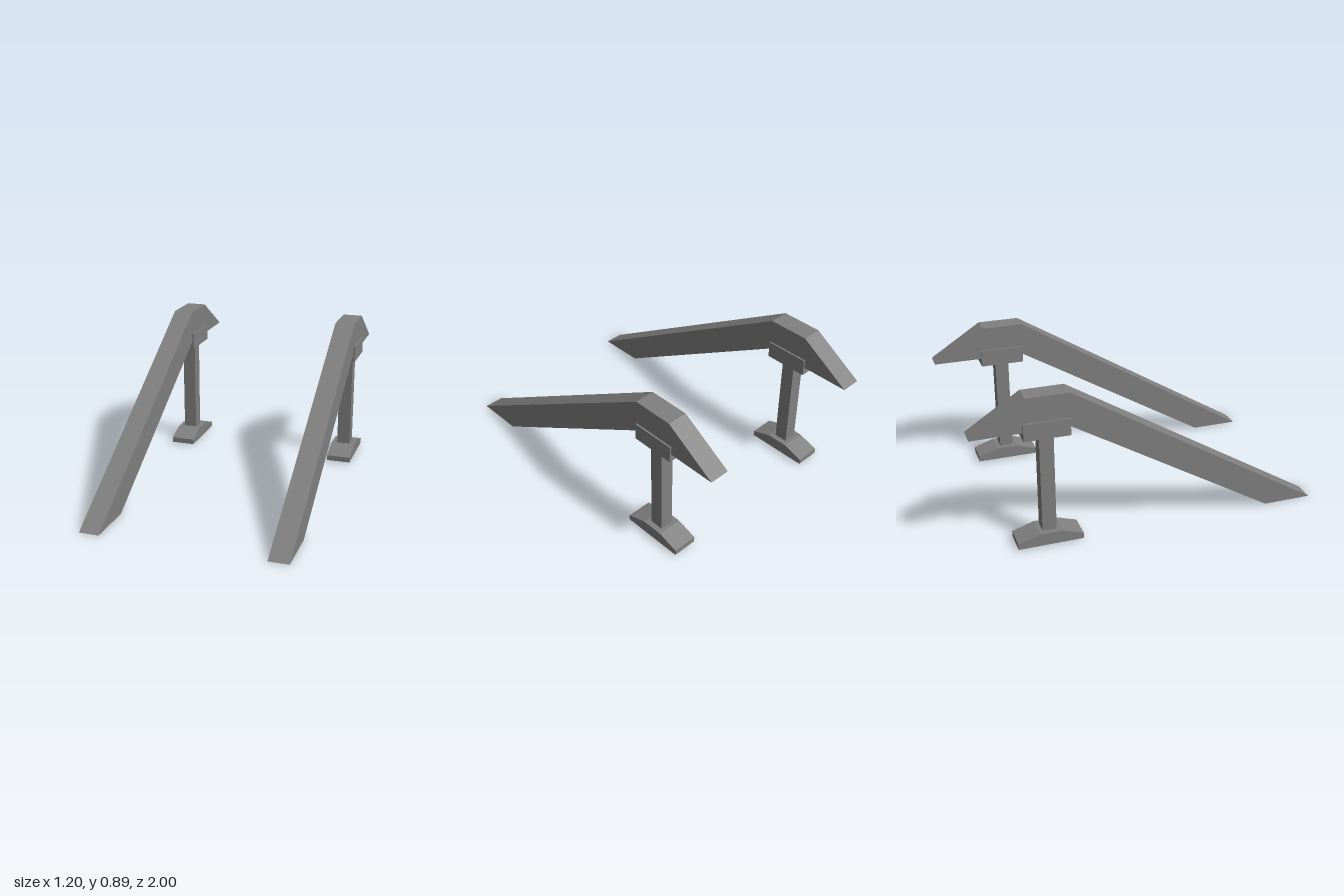
import * as THREE from 'three';

// Extrudes a side profile of [z, y] points across x, centred on x = 0.
function sideExtrude(points, width) {
  const shape = new THREE.Shape(points.map(([z, y]) => new THREE.Vector2(z, y)));
  const geometry = new THREE.ExtrudeGeometry(shape, { depth: width, bevelEnabled: false });
  geometry.translate(0, 0, -width / 2);
  geometry.rotateY(-Math.PI / 2);
  return geometry;
}

export function createModel() {
  const steel = new THREE.MeshStandardMaterial({ color: 0x808080, flatShading: true });
  steel.name = 'greySteel';

  // Sloping beam with a flat crest and a short pointed tail
  const beam = sideExtrude([
    [1, 0], [-0.46, 0.893], [-0.7, 0.893], [-1, 0.7], [-0.46, 0.7], [0.715, 0],
  ], 0.117);

  // Bracket gripping the beam
  const bracket = new THREE.BoxGeometry(0.137, 0.098, 0.256);
  bracket.translate(0, 0.702, -0.59);

  // Upright post
  const post = new THREE.BoxGeometry(0.08, 0.59, 0.08);
  post.translate(0, 0.365, -0.59);

  // Foot with sloping shoulders
  const foot = sideExtrude([
    [-0.405, 0.008], [-0.405, 0.04], [-0.525, 0.08],
    [-0.655, 0.08], [-0.775, 0.04], [-0.775, 0.008],
  ], 0.146);

  const model = new THREE.Group();
  model.name = 'rampPair';
  for (const [side, x] of [['left', 0.527], ['right', -0.529]]) {
    const ramp = new THREE.Group();
    ramp.name = side + 'Ramp';
    ramp.position.x = x;
    for (const [name, geometry] of Object.entries({ beam, bracket, post, foot })) {
      const mesh = new THREE.Mesh(geometry, steel);
      mesh.name = name;
      ramp.add(mesh);
    }
    model.add(ramp);
  }
  return model;
}
